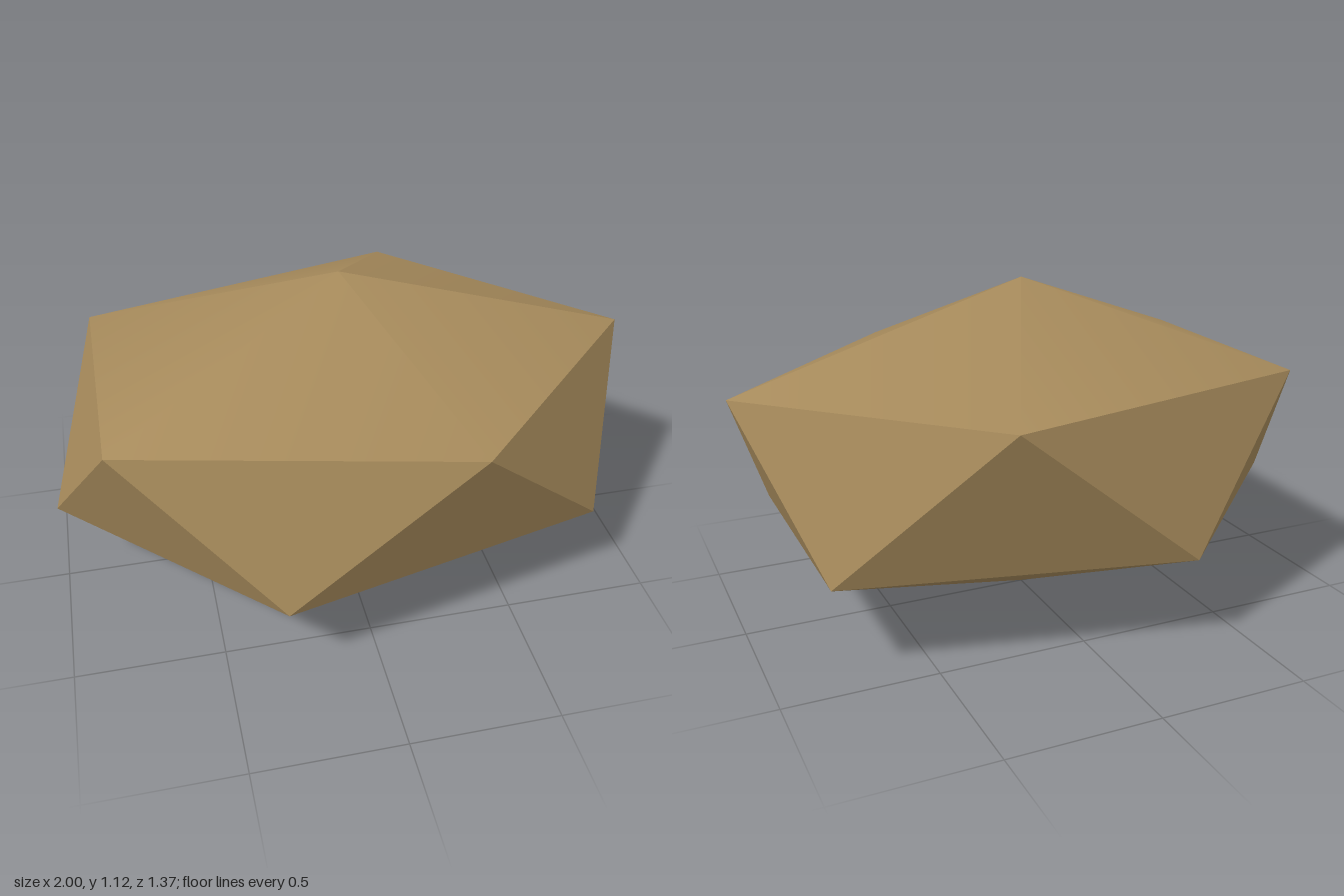
import * as THREE from 'three';
import { toCreasedNormals } from 'three/addons/utils/BufferGeometryUtils.js';

const SIDES = 5, DEPTH = 0.72;
const LOW_Y = 0.309, HIGH_Y = 0.809, TOP_Y = 1.118;

// Oval ring of corners, turned by a fraction of a step
function ring(y, turn) {
  return Array.from({ length: SIDES }, (_, i) => {
    const a = ((i + turn) / SIDES) * Math.PI * 2;
    return [Math.cos(a), y, Math.sin(a) * DEPTH];
  });
}

export function createModel() {
  const group = new THREE.Group();
  group.name = 'facetedRock';

  const stone = new THREE.MeshStandardMaterial({ color: 0xa68a5b });
  stone.name = 'sandstone';

  const high = ring(HIGH_Y, 0), low = ring(LOW_Y, 0.5);
  const peak = [0, TOP_Y, 0], foot = [0, 0, 0];
  const corners = [];

  for (let i = 0; i < SIDES; i++) {
    const n = (i + 1) % SIDES;
    corners.push(peak, high[n], high[i]); // upper cap
    corners.push(high[i], high[n], low[i]); // zigzag band
    corners.push(low[i], high[n], low[n]);
    corners.push(foot, low[i], low[n]); // lower cap
  }

  const geometry = new THREE.BufferGeometry();
  geometry.setAttribute('position', new THREE.Float32BufferAttribute(corners.flat(), 3));
  geometry.computeVertexNormals();

  // Soft shading across the caps, sharp edges around the band
  const rock = new THREE.Mesh(toCreasedNormals(geometry, THREE.MathUtils.degToRad(30.5)), stone);
  rock.name = 'rock';
  group.add(rock);
  return group;
}
